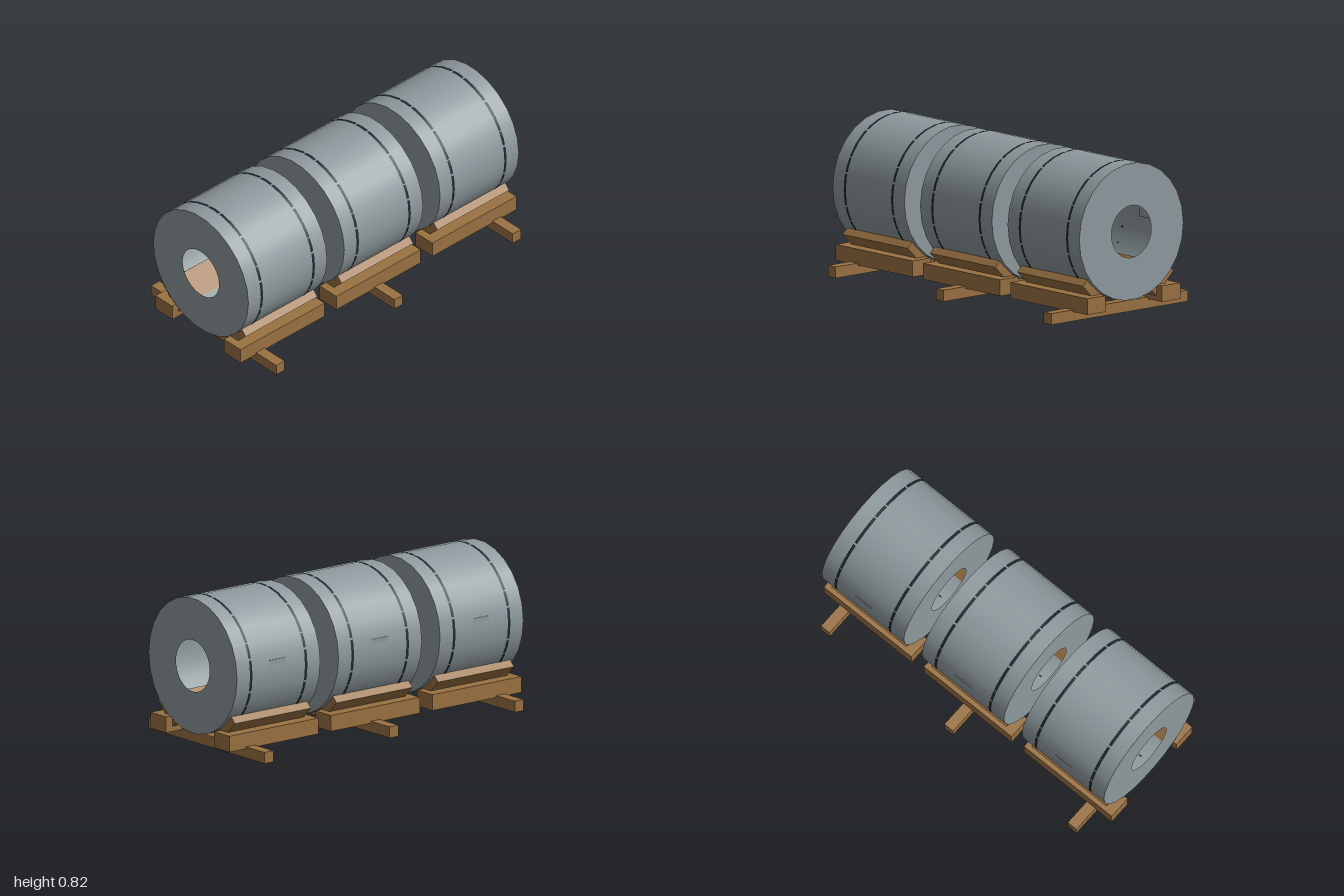
import * as THREE from 'three';

const AXIS_Y = 0.454, R = 0.37, BORE = 0.141, ROLL_LEN = 0.57, SIDES = 26;

const steel = new THREE.MeshStandardMaterial({ name: 'steelGrey', color: 0x8f9a9e, side: THREE.DoubleSide });
const wood = new THREE.MeshStandardMaterial({ name: 'woodBrown', color: 0x9a7242 });
const band = new THREE.MeshStandardMaterial({ name: 'bandBlack', color: 0x1c282e, side: THREE.DoubleSide });

function add(parent, name, geometry, material, x = 0, y = 0, z = 0) {
  const mesh = new THREE.Mesh(geometry, material);
  mesh.name = name;
  mesh.position.set(x, y, z);
  parent.add(mesh);
  return mesh;
}

// open tube lying along z, with a corner on the x axis
const tube = (radius, length, sides) =>
  new THREE.CylinderGeometry(radius, radius, length, sides, 1, true, Math.PI / 2).rotateX(Math.PI / 2);

// flat end of a roll: polygon outside, round hole inside
function endGeometry() {
  const shape = new THREE.Shape();
  for (let i = 0; i < SIDES; i++) {
    const a = (i / SIDES) * Math.PI * 2;
    shape[i ? 'lineTo' : 'moveTo'](R * Math.cos(a), R * Math.sin(a));
  }
  shape.closePath();
  shape.holes.push(new THREE.Path().absarc(0, 0, BORE, 0, Math.PI * 2, true));
  return new THREE.ShapeGeometry(shape, 40);
}

function createRoll() {
  const roll = new THREE.Group();
  roll.name = 'roll';
  add(roll, 'rollShell', tube(R, ROLL_LEN, SIDES), steel);
  const end = endGeometry();
  add(roll, 'frontEnd', end, steel, 0, 0, ROLL_LEN / 2);
  add(roll, 'backEnd', end, steel, 0, 0, -ROLL_LEN / 2).rotation.y = Math.PI;
  // tie bands
  for (const z of [-0.188, 0.188]) add(roll, 'tieBand', tube(R + 0.0007, 0.017, 36), band, 0, 0, z);
  // small tag on the right side
  add(roll, 'tag', new THREE.BoxGeometry(0.004, 0.08, 0.11), steel, -0.3635, 0.025, 0);
  return roll;
}

function createCradle(beamZ) {
  const cradle = new THREE.Group();
  cradle.name = 'cradle';
  for (const s of [-1, 1]) {
    add(cradle, 'rail', new THREE.BoxGeometry(0.13, 0.087, 0.61), wood, s * 0.265, 0.0935, 0);
    // sloping chock that cups the roll
    add(cradle, 'chock', new THREE.BoxGeometry(0.17, 0.06, 0.52), wood, s * 0.241, 0.158, 0)
      .rotation.z = s * Math.PI / 4;
  }
  add(cradle, 'crossBeam', new THREE.BoxGeometry(0.972, 0.061, 0.06), wood, 0, 0.0305, beamZ);
  return cradle;
}

export function createModel() {
  const model = new THREE.Group();
  model.name = 'rollsOnCradles';
  for (const s of [-1, 0, 1]) {
    const unit = new THREE.Group();
    unit.name = 'rollUnit';
    unit.position.z = s * 0.695;
    const roll = createRoll();
    roll.position.y = AXIS_Y;
    unit.add(roll, createCradle(s * 0.162));
    model.add(unit);
  }
  return model;
}
